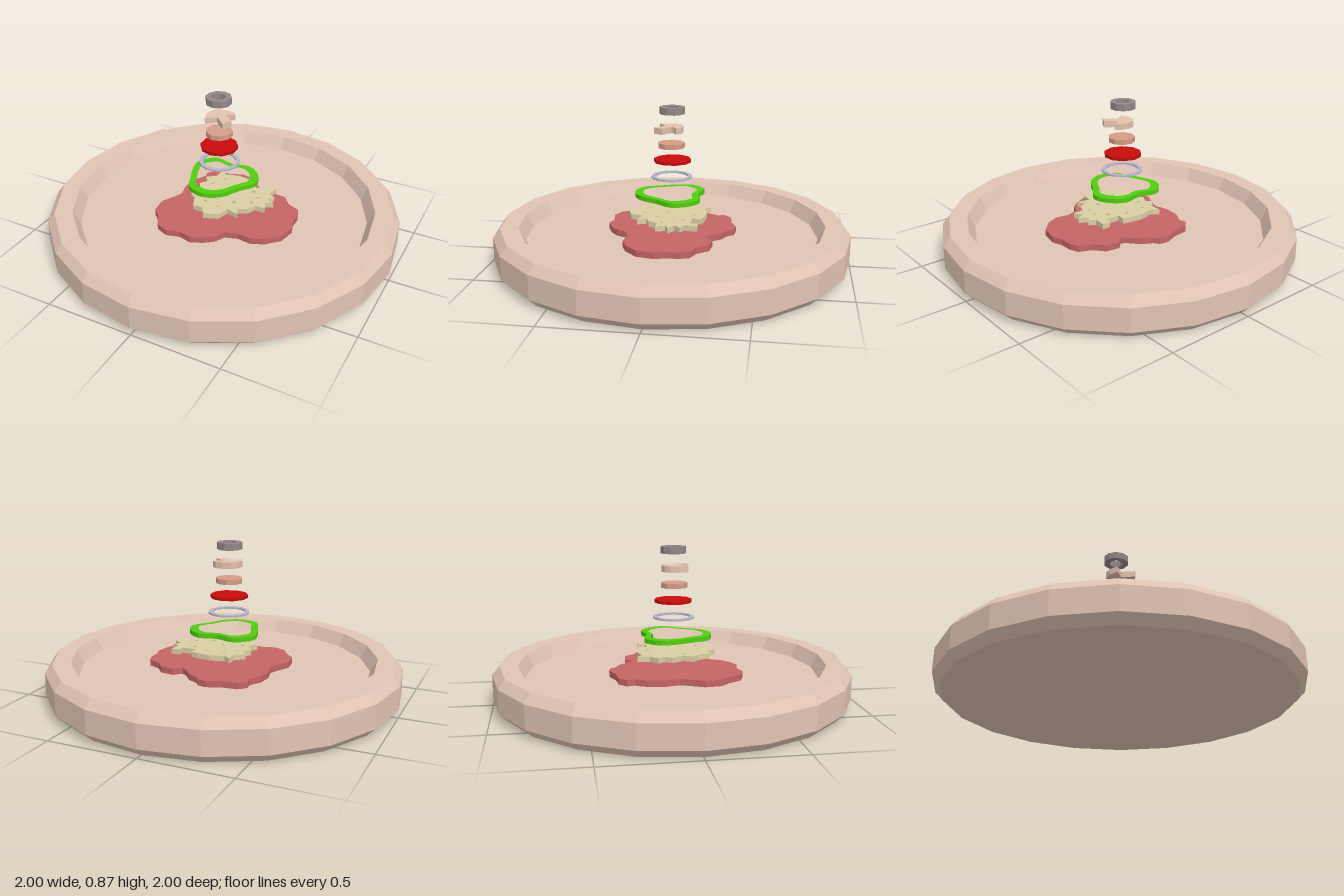
import * as THREE from 'three';

const V2 = (x, y) => new THREE.Vector2(x, y);

function add(group, name, geometry, color) {
  const material = new THREE.MeshStandardMaterial({ color, flatShading: true });
  const mesh = new THREE.Mesh(geometry, material);
  mesh.name = name;
  group.add(mesh);
  return mesh;
}

// Outline of [x, z] pairs, extruded upwards from y0 to y1
const outline = (pts) => pts.map(([x, z]) => V2(x, -z));
function slab(points, y0, y1, holes = []) {
  const shape = new THREE.Shape(points);
  for (const h of holes) shape.holes.push(new THREE.Path(h));
  return new THREE.ExtrudeGeometry(shape, { depth: y1 - y0, bevelEnabled: false })
    .rotateX(-Math.PI / 2).translate(0, y0, 0);
}

const circle = (cx, cz, r, n) => Array.from({ length: n }, (_, i) => {
  const a = (i / n) * Math.PI * 2 + Math.PI / n;
  return V2(cx + r * Math.cos(a), -cz + r * Math.sin(a));
});

export function createModel() {
  const pizza = new THREE.Group();
  pizza.name = 'pizza';

  // Dough: faceted disc with chamfered raised rim
  const profile = [[0, 0], [0.955, 0], [1, 0.045], [1, 0.175], [0.96, 0.225],
    [0.86, 0.225], [0.82, 0.15], [0, 0.15]].map(([r, y]) => V2(r, y));
  add(pizza, 'dough', new THREE.LatheGeometry(profile, 20), 0xe0c4b4);

  // Sauce: irregular puddle on the dough floor
  const sauce = outline([[-0.05, -0.36], [0, -0.35], [0.02, -0.32], [0.08, -0.29], [0.13, -0.23],
    [0.16, -0.21], [0.2, -0.25], [0.28, -0.24], [0.33, -0.18], [0.4, -0.15], [0.42, -0.1],
    [0.42, -0.03], [0.44, 0.03], [0.42, 0.13], [0.35, 0.2], [0.28, 0.23], [0.2, 0.22],
    [0.13, 0.24], [0.1, 0.3], [0.05, 0.34], [-0.02, 0.37], [-0.09, 0.35], [-0.17, 0.37],
    [-0.24, 0.34], [-0.28, 0.27], [-0.33, 0.22], [-0.34, 0.13], [-0.3, 0.05], [-0.28, 0],
    [-0.3, -0.08], [-0.29, -0.17], [-0.25, -0.24], [-0.26, -0.28], [-0.22, -0.32], [-0.13, -0.33]]);
  add(pizza, 'sauce', slab(sauce, 0.145, 0.185), 0xc46464);

  // Cheese: ragged sheet with small gaps
  const cheese = outline([[-0.12, -0.21], [-0.08, -0.18], [0, -0.2], [0.08, -0.19], [0.12, -0.18],
    [0.11, -0.13], [0.2, -0.13], [0.2, -0.17], [0.25, -0.17], [0.24, -0.1], [0.28, -0.08],
    [0.25, -0.05], [0.3, -0.02], [0.26, 0], [0.28, 0.05], [0.22, 0.05], [0.2, 0.1],
    [0.15, 0.12], [0.17, 0.17], [0.1, 0.15], [0.08, 0.22], [0, 0.25], [-0.03, 0.2],
    [-0.09, 0.2], [-0.12, 0.13], [-0.16, 0.1], [-0.13, 0.04], [-0.17, -0.02],
    [-0.14, -0.06], [-0.17, -0.1], [-0.12, -0.14]]);
  const gaps = [[-0.06, -0.13], [0.05, -0.13], [0.15, -0.08], [0.2, -0.03], [0.19, 0.03],
    [0.1, 0.07], [0.04, 0.15], [-0.05, 0.13], [-0.09, 0.05], [-0.1, -0.05], [0.02, 0.02]];
  add(pizza, 'cheese', slab(cheese, 0.245, 0.275,
    gaps.map(([x, z], i) => circle(x, z, 0.009 + 0.003 * (i % 3), 4))), 0xd9cfa4);

  // Green pepper: three-lobed ring
  const lobes = [[-0.13, -0.17], [-0.02, -0.145], [0.08, -0.165], [0.16, -0.11], [0.19, -0.02],
    [0.13, 0.07], [0.07, 0.17], [-0.02, 0.215], [-0.12, 0.185], [-0.16, 0.1], [-0.2, 0], [-0.21, -0.09]]
    .map(([x, z]) => new THREE.Vector3(x, -z, 0));
  const rim = new THREE.CatmullRomCurve3(lobes, true).getPoints(36).slice(0, -1);
  const inner = rim.map((p) => V2(-0.02 + (p.x + 0.02) * 0.78, -0.01 + (p.y + 0.01) * 0.78));
  add(pizza, 'greenPepper', slab(rim.map((p) => V2(p.x, p.y)), 0.355, 0.38, [inner]), 0x4fcf0e);

  // Onion: thin ring
  add(pizza, 'onion', slab(circle(-0.025, 0.005, 0.115, 16), 0.47, 0.48,
    [circle(-0.025, 0.005, 0.092, 16)]), 0xb6b6cc);

  // Pepperoni and sausage: solid slices
  add(pizza, 'pepperoni', slab(circle(-0.028, 0.002, 0.105, 10), 0.56, 0.577), 0xc80a0a);
  add(pizza, 'sausage', slab(circle(-0.025, 0.008, 0.075, 9), 0.642, 0.67), 0xd49d87);

  // Mushroom: curved cap with a stem
  const mushroom = outline([[-0.075, 0.08], [-0.092, 0.03], [-0.085, -0.02], [-0.06, -0.05],
    [-0.015, -0.06], [0.03, -0.055], [0.055, -0.03], [0.025, -0.018], [0.01, 0.002],
    [0.07, 0.045], [0.04, 0.095], [-0.02, 0.04], [-0.04, 0.055]]);
  add(pizza, 'mushroom', slab(mushroom, 0.73, 0.765), 0xe2c2ae);

  // Olive: small ring
  add(pizza, 'olive', slab(circle(-0.03, 0.003, 0.071, 10), 0.832, 0.87,
    [circle(-0.03, 0.003, 0.038, 10)]), 0x948787);

  return pizza;
}
